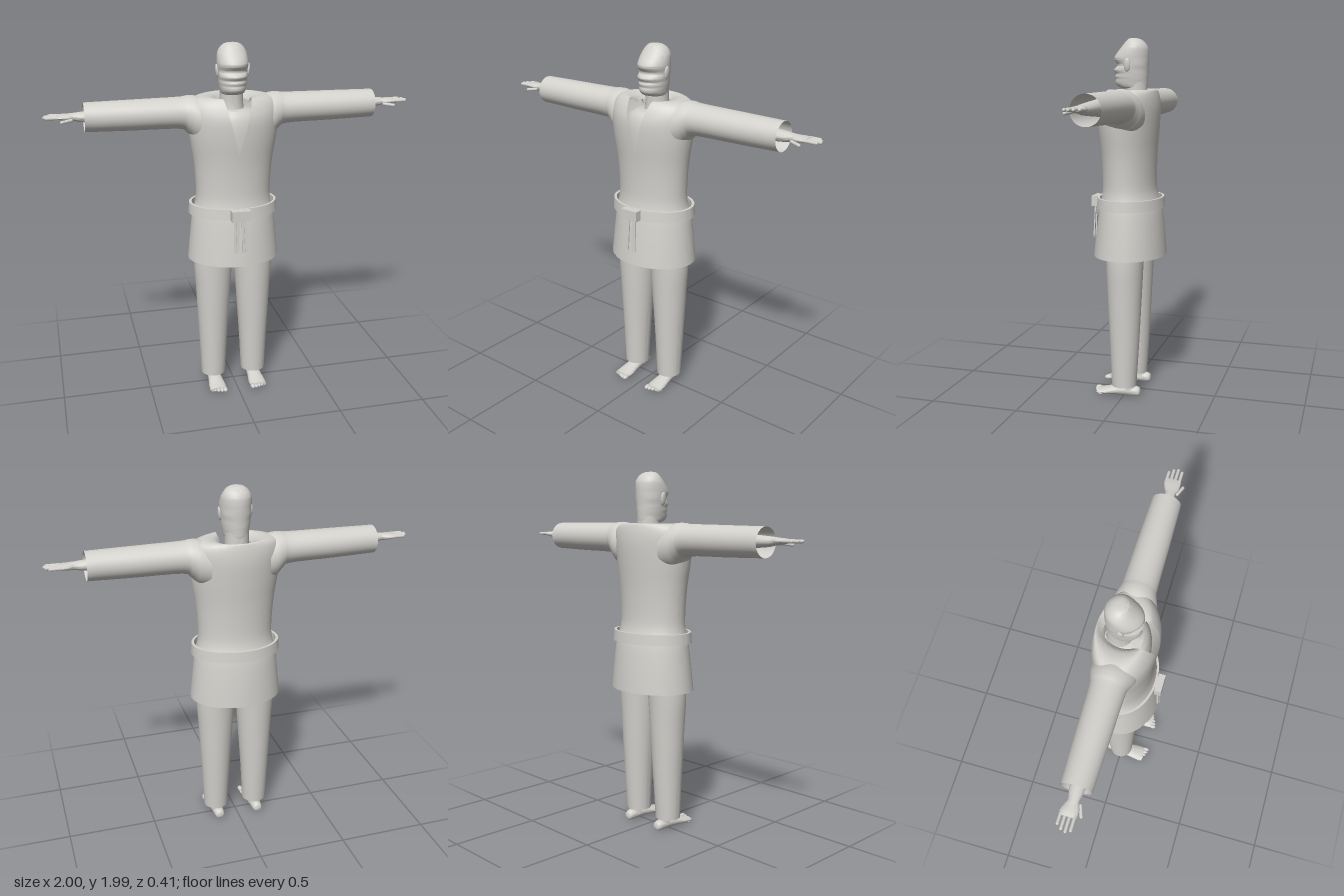
import * as THREE from 'three';
import { toCreasedNormals } from 'three/addons/utils/BufferGeometryUtils.js';

const clay = new THREE.MeshStandardMaterial({ color: 0xd3d1cc, side: THREE.DoubleSide });
clay.name = 'light grey';

// Axis order [u, along, v] so that every loft winds outward
const AXES = { x: [2, 0, 1], y: [0, 1, 2], z: [1, 2, 0] };

// Catmull-Rom through the rows of a section list
function smooth(rows, steps) {
  const out = [];
  for (let i = 0; i < rows.length - 1; i++) {
    const [a, b, c, d] = [-1, 0, 1, 2].map(k => rows[THREE.MathUtils.clamp(i + k, 0, rows.length - 1)]);
    for (let s = 0; s < steps; s++) {
      const t = s / steps;
      out.push(b.map((q, k) => {
        const cubic = 3 * (q - c[k]) + d[k] - a[k];
        const square = 2 * a[k] - 5 * q + 4 * c[k] - d[k];
        return q + 0.5 * t * (c[k] - a[k] + t * (square + t * cubic));
      }));
    }
  }
  out.push(rows[rows.length - 1]);
  return out;
}

// Skin elliptical sections [along, uMin, uMax, vMin, vMax]; span gives the arc for open rings
function loft(axis, rows, { steps = 4, sides = 40, capped = false, span = null, tuck = 0 } = {}) {
  let rings = steps > 1 ? smooth(rows, steps) : rows;
  if (capped) {
    const point = r => [r[0], (r[1] + r[2]) / 2, (r[1] + r[2]) / 2, (r[3] + r[4]) / 2, (r[3] + r[4]) / 2];
    rings = [point(rings[0]), ...rings, point(rings[rings.length - 1])];
  }
  const order = AXES[axis], pos = [], index = [];
  rings.forEach((r, i) => {
    const [from, to] = span ? span(r[0], (r[2] - r[1]) / 2) : [0, Math.PI * 2];
    for (let j = 0; j <= sides; j++) {
      const f = j / sides, a = from + (to - from) * f, k = 0.5 * (1 - tuck * f ** 8), p = [0, 0, 0];
      p[order[0]] = (r[1] + r[2]) / 2 + Math.sin(a) * (r[2] - r[1]) * k;
      p[order[1]] = r[0];
      p[order[2]] = (r[3] + r[4]) / 2 + Math.cos(a) * (r[4] - r[3]) * k;
      pos.push(...p);
      if (i < rings.length - 1 && j < sides) {
        const q = i * (sides + 1) + j, n = q + sides + 1;
        index.push(q, q + 1, n, q + 1, n + 1, n);
      }
    }
  });
  const g = new THREE.BufferGeometry();
  g.setAttribute('position', new THREE.Float32BufferAttribute(pos, 3));
  g.setIndex(index);
  return toCreasedNormals(g, 0.8);
}

function add(parent, name, geometry, x = 0, y = 0, z = 0) {
  const m = new THREE.Mesh(geometry, clay);
  m.name = name;
  m.position.set(x, y, z);
  parent.add(m);
  return m;
}

// Front edges of the wrapped jacket as arc angles: V neck above, overlap below
function wrap(y, rx) {
  const v = 1.42;
  const left = y > v ? (y - v) * 0.26 : y > 1.1 ? (y - v) * 0.2 : -0.064 + (y - 1.1) * 0.253;
  const right = y > v ? -left : left + Math.min(0.04, v - y);
  return [Math.asin(left / rx), Math.PI * 2 + Math.asin(right / rx)];
}

function buildSide() {
  const side = new THREE.Group();

  // Sleeve, open at the cuff
  add(side, 'sleeve', loft('x', [
    [0.16, -0.13, 0.11, 1.46, 1.705], [0.21, -0.125, 0.1, 1.48, 1.718], [0.25, -0.112, 0.085, 1.522, 1.719],
    [0.3, -0.103, 0.077, 1.546, 1.714], [0.55, -0.097, 0.072, 1.55, 1.711], [0.79, -0.09, 0.066, 1.555, 1.708]]));

  // Forearm, palm and fingers
  add(side, 'hand', loft('x', [
    [0.55, -0.055, 0.04, 1.59, 1.68], [0.78, -0.045, 0.03, 1.607, 1.664], [0.84, -0.035, 0.022, 1.617, 1.659],
    [0.87, -0.046, 0.03, 1.62, 1.656], [0.9, -0.055, 0.033, 1.626, 1.654], [0.925, -0.054, 0.03, 1.631, 1.65]],
    { sides: 24, capped: true }));
  [0.05, 0.068, 0.076, 0.065].forEach((len, i) => {
    const finger = add(side, 'finger', new THREE.CapsuleGeometry(0.0085, len, 4, 10),
      0.915 + len / 2, 1.641, -0.046 + i * 0.0225);
    finger.rotation.z = Math.PI / 2;
  });
  const thumb = add(side, 'thumb', new THREE.CapsuleGeometry(0.009, 0.052, 4, 10), 0.88, 1.625, 0.038);
  thumb.rotation.set(0, -0.35, Math.PI / 2 - 0.1);

  // Trouser leg
  add(side, 'trouserLeg', loft('y', [
    [0.063, 0.05, 0.19, -0.07, 0.068], [0.3, 0.038, 0.2, -0.085, 0.078],
    [0.6, 0.018, 0.215, -0.1, 0.092], [0.8, 0.006, 0.223, -0.11, 0.1], [1.08, 0, 0.2, -0.13, 0.11]]));

  // Ankle, foot and toes
  add(side, 'ankle', loft('y', [
    [0.03, 0.082, 0.152, -0.075, 0.03], [0.09, 0.088, 0.15, -0.065, 0.012], [0.25, 0.085, 0.155, -0.06, 0.025]],
    { sides: 24, capped: true }));
  add(side, 'foot', loft('z', [
    [-0.095, 0.012, 0.035, 0.105, 0.133], [-0.08, 0.001, 0.055, 0.09, 0.146], [0, 0, 0.068, 0.082, 0.154],
    [0.06, 0.002, 0.052, 0.076, 0.162], [0.11, 0, 0.038, 0.07, 0.168], [0.15, 0.003, 0.029, 0.073, 0.166]],
    { sides: 28, capped: true }));
  for (let i = 0; i < 5; i++) {
    const r = 0.0135 - i * 0.0012;
    const toe = add(side, 'toe', new THREE.SphereGeometry(r, 14, 10),
      0.083 + i * 0.0193, r + 0.003, 0.157 - i * i * 0.0018);
    toe.scale.z = 1.6;
  }

  // Ear
  const ear = add(side, 'ear', new THREE.SphereGeometry(1, 18, 12), 0.085, 1.845, -0.008);
  ear.scale.set(0.009, 0.036, 0.018);
  ear.rotation.z = -0.1;
  return side;
}

export function createModel() {
  const model = new THREE.Group();
  model.name = 'robedFigure';

  for (const s of [1, -1]) {
    const side = buildSide();
    side.name = s > 0 ? 'leftSide' : 'rightSide';
    side.scale.x = s;
    model.add(side);
  }

  // Wrapped jacket: skirt, waist, chest, shoulders and neckline
  add(model, 'jacket', loft('y', [
    [0.8, -0.257, 0.257, -0.205, 0.195], [0.94, -0.243, 0.243, -0.194, 0.18], [1.07, -0.228, 0.228, -0.178, 0.163],
    [1.13, -0.212, 0.212, -0.157, 0.149], [1.2, -0.207, 0.207, -0.147, 0.143], [1.35, -0.217, 0.217, -0.149, 0.148],
    [1.5, -0.24, 0.24, -0.159, 0.163], [1.6, -0.25, 0.25, -0.164, 0.165], [1.66, -0.248, 0.248, -0.16, 0.148],
    [1.7, -0.222, 0.222, -0.152, 0.125], [1.714, -0.165, 0.165, -0.146, 0.112],
    [1.704, -0.11, 0.11, -0.137, 0.107], [1.68, -0.083, 0.083, -0.115, 0.102]],
    { sides: 72, span: wrap, tuck: 0.02 }));

  // Bare chest inside the V, and neck
  add(model, 'chest', loft('y', [
    [1.25, -0.15, 0.15, -0.11, 0.118], [1.5, -0.17, 0.17, -0.12, 0.125], [1.6, -0.15, 0.15, -0.115, 0.112],
    [1.64, -0.095, 0.095, -0.105, 0.085]], { capped: true }));
  add(model, 'neck', loft('y', [
    [1.58, -0.075, 0.075, -0.105, 0.045], [1.66, -0.064, 0.064, -0.1, 0.028], [1.76, -0.064, 0.064, -0.098, 0.03]]));

  // Head with brow, nose, lip and chin ridges along the front
  add(model, 'head', loft('y', [
    [1.715, -0.05, 0.05, -0.085, 0.015], [1.727, -0.064, 0.064, -0.098, 0.06], [1.75, -0.07, 0.07, -0.1, 0.08],
    [1.772, -0.074, 0.074, -0.101, 0.077], [1.785, -0.076, 0.076, -0.102, 0.082], [1.797, -0.077, 0.077, -0.102, 0.076],
    [1.82, -0.08, 0.08, -0.103, 0.088], [1.843, -0.081, 0.081, -0.104, 0.066], [1.865, -0.083, 0.083, -0.105, 0.08],
    [1.88, -0.084, 0.084, -0.105, 0.086], [1.905, -0.083, 0.083, -0.105, 0.073], [1.94, -0.077, 0.077, -0.1, 0.045],
    [1.968, -0.06, 0.06, -0.08, 0.022], [1.984, -0.037, 0.037, -0.055, 0.006], [1.989, -0.006, 0.006, -0.025, -0.012]],
    { capped: true }));

  // Belt as a closed band standing slightly off the jacket
  add(model, 'belt', loft('y', [
    [1.067, -0.232, 0.232, -0.182, 0.165], [1.067, -0.249, 0.249, -0.195, 0.178],
    [1.126, -0.245, 0.245, -0.189, 0.172], [1.126, -0.23, 0.23, -0.176, 0.16],
    [1.067, -0.232, 0.232, -0.182, 0.165]], { steps: 1, sides: 72 }));

  // Knot and two folded tails
  add(model, 'beltKnot', new THREE.BoxGeometry(0.104, 0.058, 0.038), -0.002, 1.096, 0.19);
  for (const [x, tilt] of [[-0.025, -0.03], [0.02, 0.03]]) {
    for (const k of [0, 1]) {
      const tail = add(model, 'beltTail', new THREE.BoxGeometry(0.018, 0.19, 0.007),
        x + (k - 0.5) * 0.012, 0.978 + k * 0.006, 0.19 + k * 0.006);
      tail.rotation.set(-0.04, 0, tilt * (k + 0.3));
    }
  }
  return model;
}
